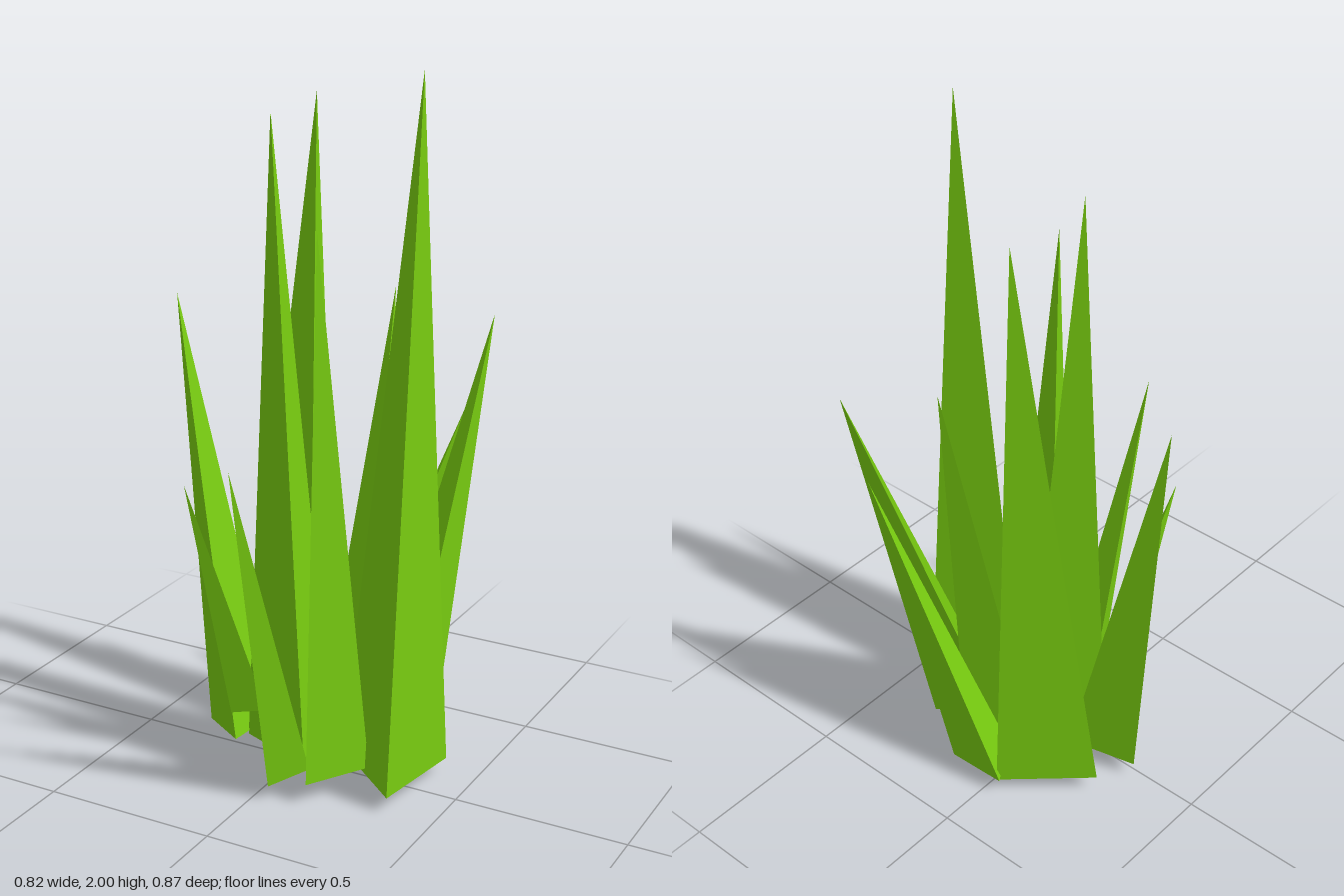
import * as THREE from 'three';
import { ConvexGeometry } from 'three/addons/geometries/ConvexGeometry.js';

// Each blade is a three-sided spike: its tip, then the three corners of its base.
const BLADES = {
  leftBlade: [[-0.41, 1.32, -0.05], [-0.115, 0.08, -0.095], [-0.14, 0.075, 0.11], [-0.3, 0.045, -0.02]],
  smallFrontLeftBlade: [[-0.21, 0.88, 0.25], [-0.1, 0.21, 0.055], [-0.03, 0.2, 0.125], [-0.13, 0.18, 0.15]],
  frontBlade: [[0.04, 1.02, 0.435], [-0.015, 0.065, 0.125], [0.12, 0.065, 0.15], [0.045, 0.04, 0.25]],
  frontRightBlade: [[0.15, 1.6, 0.17], [0.07, 0.07, 0.03], [0.26, 0.065, 0.06], [0.15, 0.06, 0.225]],
  tallRightBlade: [[0.365, 2, 0.01], [0.13, 0.055, -0.025], [0.41, 0.045, -0.13], [0.365, 0.045, 0.16]],
  backRightBlade: [[0.385, 1.27, -0.435], [0.135, 0.05, -0.135], [0.305, 0.05, -0.005], [0.33, 0, -0.2]],
  innerBackBlade: [[0.13, 1.34, -0.33], [0, 0.06, -0.13], [0.165, 0.07, -0.03], [0.185, 0.045, -0.22]],
  tallBackLeftBlade: [[-0.11, 1.87, -0.31], [-0.255, 0.05, -0.135], [0.015, 0.06, -0.045], [-0.03, 0.035, -0.32]],
  centreBlade: [[-0.08, 1.86, 0], [-0.135, 0.065, 0.045], [0.06, 0.07, -0.1], [0.1, 0.07, 0.145]],
  lowBackBlade: [[0.32, 1.01, -0.415], [-0.05, 0.05, -0.33], [0.025, 0.07, -0.21], [0.13, 0.04, -0.33]],
};

export function createModel() {
  const tuft = new THREE.Group();
  tuft.name = 'grassTuft';
  const green = new THREE.MeshStandardMaterial({ color: 0x78cc10, flatShading: true });

  for (const [name, corners] of Object.entries(BLADES)) {
    const points = corners.map((c) => new THREE.Vector3(...c));
    const blade = new THREE.Mesh(new ConvexGeometry(points), green);
    blade.name = name;
    tuft.add(blade);
  }
  return tuft;
}
